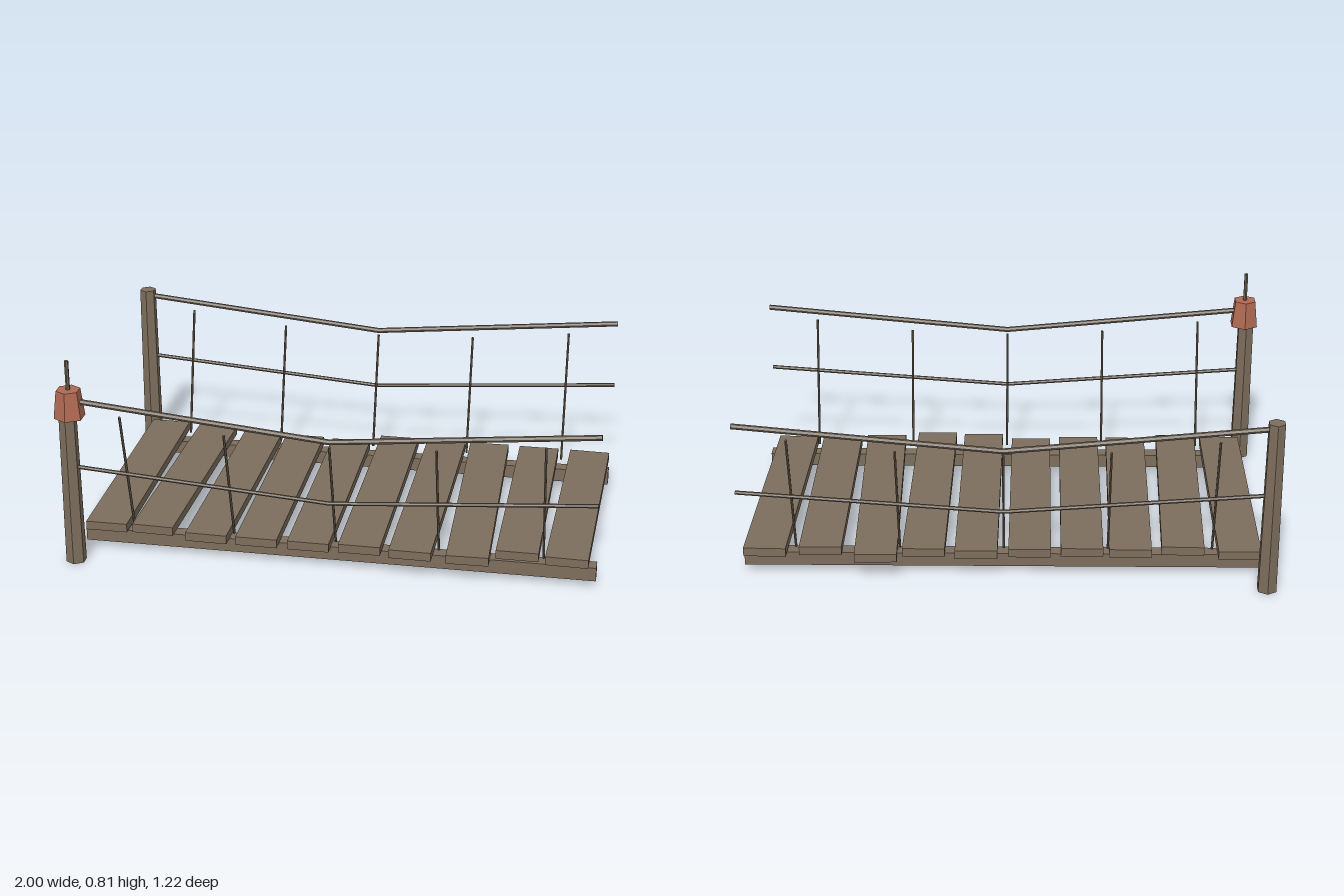
import * as THREE from 'three';

const wood = new THREE.MeshStandardMaterial({ color: 0x7d6e5d });
wood.name = 'weathered wood';
const rope = new THREE.MeshStandardMaterial({ color: 0x6f6252 });
rope.name = 'rope';
const clay = new THREE.MeshStandardMaterial({ color: 0xb06a52 });
clay.name = 'terracotta';
for (const m of [wood, rope, clay]) m.flatShading = true;

function add(parent, name, geometry, material, x = 0, y = 0, z = 0) {
  const mesh = new THREE.Mesh(geometry, material);
  mesh.name = name;
  mesh.position.set(x, y, z);
  parent.add(mesh);
  return mesh;
}

// Straight six-sided bar between two points
function bar(parent, name, a, b, radius, material) {
  const from = new THREE.Vector3(...a), to = new THREE.Vector3(...b);
  const dir = to.clone().sub(from);
  const mesh = add(parent, name, new THREE.CylinderGeometry(radius, radius, dir.length(), 6), material);
  mesh.position.copy(from).add(to).multiplyScalar(0.5);
  mesh.quaternion.setFromUnitVectors(new THREE.Vector3(0, 1, 0), dir.normalize());
}

export function createModel() {
  const bridge = new THREE.Group();
  bridge.name = 'plankBridge';

  // Two long bearers under the deck
  for (const z of [0.404, -0.427])
    add(bridge, 'bearer', new THREE.BoxGeometry(1.947, 0.054, 0.053), wood, 0.0225, 0.051, z);

  // Uneven planks: x at back end, x at front end, back z, front z, mid height
  const planks = [
    [-0.86, -0.86, -0.508, 0.465, 0.104], [-0.649, -0.678, -0.485, 0.47, 0.109],
    [-0.454, -0.47, -0.48, 0.475, 0.094], [-0.273, -0.276, -0.475, 0.477, 0.095],
    [-0.077, -0.079, -0.475, 0.47, 0.091], [0.123, 0.118, -0.511, 0.485, 0.103],
    [0.32, 0.31, -0.497, 0.497, 0.103], [0.497, 0.523, -0.527, 0.487, 0.095],
    [0.705, 0.703, -0.497, 0.443, 0.108], [0.913, 0.887, -0.503, 0.455, 0.104],
  ];
  for (const [xBack, xFront, zBack, zFront, y] of planks) {
    const plank = add(bridge, 'plank', new THREE.BoxGeometry(0.159, 0.034, zFront - zBack),
      wood, (xBack + xFront) / 2, y, (zBack + zFront) / 2);
    plank.rotation.y = (xFront - xBack) / (zFront - zBack);
  }

  // Each side: post, two sagging ropes and five slanted hangers
  for (const [side, z, footZ] of [['front', 0.552, 0.425], ['back', -0.574, -0.447]]) {
    const rail = new THREE.Group();
    rail.name = side + 'Rail';
    bridge.add(rail);
    add(rail, 'post', new THREE.CylinderGeometry(0.033, 0.039, 0.685, 6), wood, -0.957, 0.3425, z);
    for (const [name, high, low, r] of [['handRope', 0.66, 0.566, 0.0105], ['middleRope', 0.393, 0.32, 0.0075]]) {
      bar(rail, name, [-0.95, high, z], [0.02, low, z], r, rope);
      bar(rail, name, [0.02, low, z], [0.995, high, z], r, rope);
    }
    [0.605, 0.562, 0.547, 0.562, 0.605].forEach((top, i) => {
      const x = -0.76 + 0.39 * i;
      bar(rail, 'hanger', [x, top, z], [x, 0.1, footZ], 0.005, rope);
    });
  }

  // Tapered lantern cap with a spike on the front post
  add(bridge, 'lanternCap', new THREE.CylinderGeometry(0.046, 0.059, 0.108, 6), clay, -0.949, 0.648, 0.552);
  add(bridge, 'spike', new THREE.CylinderGeometry(0.008, 0.008, 0.13, 6), rope, -0.949, 0.75, 0.552);

  return bridge;
}
